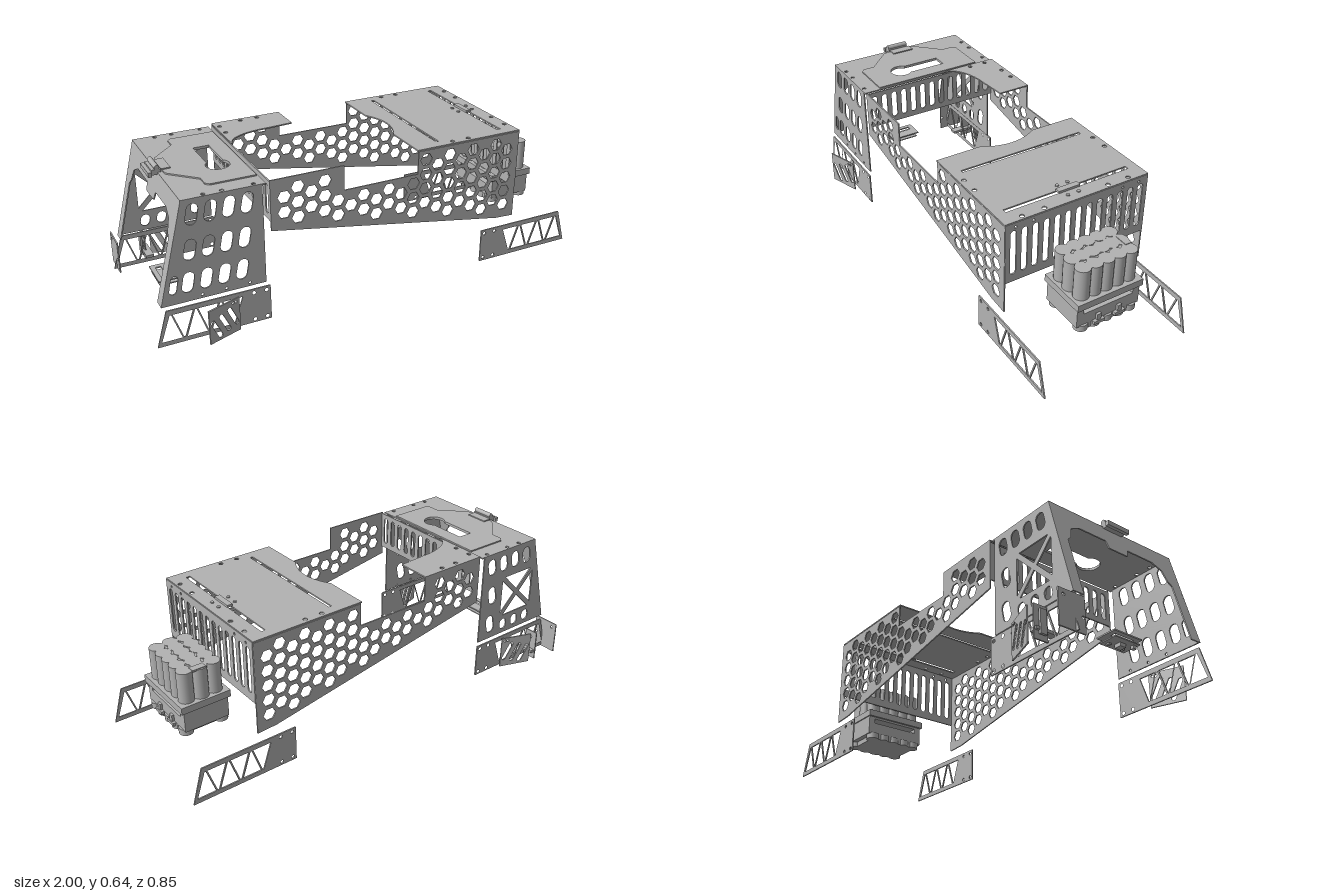
import * as THREE from 'three';

const T = 0.006; // sheet thickness
const gray = new THREE.MeshStandardMaterial({ color: 0xb2b2b2 });
gray.name = 'metal gray';

// ---- outline helpers: each returns a list of [a, b] points ----
const ngon = (x, y, r, n = 10, a0 = 0) => Array.from({ length: n }, (_, i) => {
  const a = a0 + (i / n) * Math.PI * 2;
  return [x + r * Math.cos(a), y + r * Math.sin(a)];
});
const rect = (x0, y0, x1, y1) => [[x0, y0], [x1, y0], [x1, y1], [x0, y1]];
// upright rounded slot, optionally tilted
function slot(x, y, w, h, tilt = 0) {
  const r = w / 2, c = Math.cos(tilt), s = Math.sin(tilt), pts = [];
  for (let k = 0; k < 2; k++) for (let i = 0; i <= 8; i++) {
    const a = Math.PI * (k + i / 8);
    const px = r * Math.cos(a), py = r * Math.sin(a) + (k ? -1 : 1) * (h / 2 - r);
    pts.push([x + px * c - py * s, y + px * s + py * c]);
  }
  return pts;
}

function sheet(outline, holes = [], depth = T) {
  const v = (l) => l.map((p) => new THREE.Vector2(p[0], p[1]));
  const shape = new THREE.Shape(v(outline));
  holes.forEach((h) => shape.holes.push(new THREE.Path(v(h))));
  return new THREE.ExtrudeGeometry(shape, { depth, bevelEnabled: false });
}

export function createModel() {
  const model = new THREE.Group();
  model.name = 'mountingFrame';
  const add = (name, geo, x = 0, y = 0, z = 0, parent = model) => {
    const m = new THREE.Mesh(geo, gray);
    m.name = name;
    m.position.set(x, y, z);
    parent.add(m);
    return m;
  };
  const box = (name, x0, x1, y0, y1, z0, z1) =>
    add(name, new THREE.BoxGeometry(x1 - x0, y1 - y0, z1 - z0), (x0 + x1) / 2, (y0 + y1) / 2, (z0 + z1) / 2);
  const flat = (name, o, h, y, d) => add(name, sheet(o, h, d).rotateX(Math.PI / 2), 0, y, 0); // (x, z) outline, top at y
  const cross = (name, o, h, x, d) => add(name, sheet(o, h, d).rotateY(-Math.PI / 2), x, 0, 0); // (z, y) outline

  // ---- honeycomb side panels ----
  const hexes = [];
  for (let i = 0; i < 19; i++) for (let j = 0; j < 8; j++) {
    const x = -0.44 + i * 0.0595, y = 0.57 - j * 0.067 - (i % 2 ? 0 : 0.0335);
    const top = x < -0.215 || x > 0.21 ? 0.578 : 0.475;
    const low = Math.max(0.24, 0.4 - 0.177 * (x + 0.5) + 0.038);
    if (y < top && y > low) hexes.push(ngon(x, y, 0.029, 6));
  }
  const honeyOutline = [[-0.5, 0.4], [0.6, 0.205], [0.69, 0.2], [0.69, 0.612], [0.175, 0.612],
    [0.175, 0.51], [-0.175, 0.51], [-0.175, 0.62], [-0.5, 0.62]];
  for (const z of [-0.337, 0.331]) add('honeycombSide', sheet(honeyOutline, hexes), 0, 0, z);

  // slotted cross panels
  const slots = (y, h) => Array.from({ length: 13 }, (_, i) => slot((i - 6) * 0.05, y, 0.027, h));
  const rivets = [-0.29, -0.21, 0.21, 0.29].map((z) => ngon(z, 0.597, 0.006));
  cross('slottedEndPanel', rect(-0.335, 0.342, 0.335, 0.617), [...slots(0.48, 0.205), ...rivets], 0.693);
  cross('slottedInnerPanel', rect(-0.335, 0.44, 0.335, 0.615), slots(0.53, 0.13), -0.494);

  // big deck with a curved cutout and two long slots
  const deck = [[0.17, -0.337], [0.69, -0.337], [0.69, 0.337], [0.17, 0.337]];
  for (let i = 0; i <= 10; i++) {
    const t = 1 - i / 5;
    deck.push([0.17 + 0.04 * (1 - t * t), 0.13 * t]);
  }
  const deckHoles = [rect(0.288, -0.29, 0.302, 0.29), rect(0.603, -0.29, 0.622, 0.29)];
  for (const z of [-0.25, -0.15, 0.15, 0.25]) deckHoles.push(ngon(0.672, z, 0.01));
  for (const x of [0.355, 0.435]) for (const z of [-0.315, 0.315]) deckHoles.push(ngon(x, z, 0.01));
  flat('deckPlate', deck, deckHoles, 0.62);
  box('deckLatch', 0.6, 0.625, 0.62, 0.63, -0.05, 0.05);
  for (const x of [0.575, 0.65]) for (const z of [-0.025, 0.025])
    add('deckScrew', new THREE.CylinderGeometry(0.008, 0.008, 0.005, 10), x, 0.622, z);

  // corner plate with a swept inner edge
  const corner = [[-0.5, -0.337], [-0.175, -0.337], [-0.175, -0.185], [-0.3, -0.175]];
  for (let i = 1; i <= 8; i++) {
    const a = (i / 8) * Math.PI / 2;
    corner.push([-0.3 - 0.195 * Math.sin(a), -0.08 - 0.095 * Math.cos(a)]);
  }
  corner.push([-0.5, -0.08]);
  flat('cornerPlate', corner, [[-0.37, -0.315], [-0.29, -0.315], [-0.48, -0.285], [-0.48, -0.205]]
    .map((p) => ngon(p[0], p[1], 0.01)), 0.626);

  // ---- tapered stand ----
  const standOutline = [[-0.97, 0.175], [-0.53, 0.175], [-0.53, 0.61], [-0.86, 0.61]];
  const standSlots = [];
  [[0.548, 0], [0.4, 0], [0.26, 0]].forEach(([y], r) => {
    for (let c = 0; c < 4; c++) standSlots.push(slot(-0.82 + c * 0.075 - r * 0.017, y, 0.046, 0.09, -0.2));
  });
  standSlots.push(slot(-0.913, 0.26, 0.03, 0.08, -0.2));
  for (const x of [-0.8, -0.7, -0.6]) standSlots.push(ngon(x, 0.19, 0.006));
  add('standFrontSide', sheet(standOutline, standSlots), 0, 0, 0.331);

  // braced rear side: four triangles leave an X
  const [bx, by, bw, bh, g] = [-0.765, 0.37, 0.1, 0.1, 0.016];
  const brace = [
    [[bx, by + g], [bx + bw - g, by + bh], [bx - bw + g, by + bh]],
    [[bx, by - g], [bx - bw + g, by - bh], [bx + bw - g, by - bh]],
    [[bx + g, by], [bx + bw, by - bh + g], [bx + bw, by + bh - g]],
    [[bx - g, by], [bx - bw, by + bh - g], [bx - bw, by - bh + g]],
  ];
  for (let c = 0; c < 4; c++) {
    brace.push(slot(-0.81 + c * 0.075, 0.548, 0.046, 0.08, -0.2));
    if (c < 3) brace.push(slot(-0.84 + c * 0.075, 0.222, 0.042, 0.055, -0.2));
  }
  for (const y of [0.25, 0.4]) brace.push(slot(-0.6, y, 0.046, 0.09, -0.2));
  add('standBackSide', sheet(standOutline, brace), 0, 0, -0.337);

  // leaning end frame: cut upright, then sheared along x by height
  const half = [[0.05, 0.5], [0.06, 0.535], [0.2, 0.535], [0.25, 0.51], [0.265, 0.46], [0.285, 0.44],
    [0.285, 0.175], [0.335, 0.175], [0.335, 0.61]];
  const endOutline = [...half, ...half.map(([z, y]) => [-z, y]).reverse()];
  const endGeo = sheet(endOutline).rotateY(-Math.PI / 2);
  const ep = endGeo.attributes.position;
  for (let i = 0; i < ep.count; i++) ep.setX(i, ep.getX(i) - 0.964 + (ep.getY(i) - 0.175) * 0.253);
  endGeo.computeVertexNormals();
  add('standEndFrame', endGeo);

  // stand top and its lid, both cut by a keyhole
  const keyhole = [[-0.66, -0.115], [-0.59, -0.115]];
  for (let i = 0; i <= 14; i++) {
    const a = -0.8 + (i / 14) * (Math.PI + 1.6);
    keyhole.push([-0.625 + 0.05 * Math.cos(a), 0.095 + 0.05 * Math.sin(a)]);
  }
  const topHoles = [keyhole];
  for (const x of [-0.765, -0.69, -0.56]) for (const z of [-0.32, 0.32]) topHoles.push(ngon(x, z, 0.009));
  flat('standTop', rect(-0.86, -0.337, -0.515, 0.337), topHoles, 0.614);
  const lidHalf = [[-0.522, 0.258], [-0.715, 0.258], [-0.73, 0.243], [-0.73, 0.19], [-0.835, 0.085], [-0.84, 0.07]];
  flat('standLid', [...lidHalf, ...lidHalf.map(([x, z]) => [x, -z]).reverse()], [keyhole], 0.62);

  // hinge
  box('hingeLeaf', -0.845, -0.805, 0.62, 0.625, -0.06, 0.045);
  box('hingeBlock', -0.885, -0.845, 0.605, 0.628, -0.05, 0.05);
  box('hingeTab', -0.9, -0.885, 0.6, 0.62, -0.06, 0.055);
  add('hingePin', new THREE.CylinderGeometry(0.011, 0.011, 0.1, 14).rotateX(Math.PI / 2), -0.862, 0.634, 0);

  // ---- battery pack ----
  const bat = new THREE.Group();
  bat.name = 'batteryPack';
  bat.position.set(0.81, 0, -0.003);
  model.add(bat);
  const bbox = (name, w, d, y0, y1, x = 0, z = 0) =>
    add(name, new THREE.BoxGeometry(w, y1 - y0, d), x, (y0 + y1) / 2, z, bat);
  for (let c = -1; c <= 1; c++) for (let r = 0; r < (c ? 5 : 6); r++) {
    const z = (r - (c ? 2 : 2.5)) * (c ? 0.055 : 0.046);
    add('batteryCell', new THREE.CylinderGeometry(0.033, 0.033, 0.145, 20), c * 0.063, 0.3825, z, bat);
  }
  bbox('cellCore', 0.13, 0.24, 0.312, 0.452);
  bbox('batteryRim', 0.222, 0.312, 0.287, 0.318);
  bbox('batteryUpperBody', 0.2, 0.3, 0.277, 0.288);
  for (const s of [-1, 1]) bbox('windowPost', 0.2, 0.032, 0.254, 0.278, 0, s * 0.134);
  bbox('batteryLowerBody', 0.2, 0.3, 0.197, 0.255);
  for (let i = 0; i < 5; i++) for (const s of [-1, 1])
    add('footLobe', new THREE.CylinderGeometry(0.03, 0.03, 0.028, 16), s * 0.08, 0.188, (i - 2) * 0.058, bat);
  bbox('batteryFoot', 0.2, 0.25, 0.174, 0.198);
  for (const s of [-1, 1]) {
    bbox('sideConnector', 0.014, 0.02, 0.2, 0.232, 0.104, s * 0.05);
    bbox('sideConnectorBase', 0.018, 0.05, 0.19, 0.204, 0.106, s * 0.05);
  }
  bbox('topTerminal', 0.06, 0.03, 0.45, 0.458, 0.01, -0.125);

  // ---- lower truss plates at all four corners ----
  for (const s of [-1, 1]) {
    const m = (l) => l.map(([x, y]) => [x * s, y]);
    const holes = [];
    for (let i = 0; i < 6; i++) {
      const c = 0.68 + i * 0.052, up = i % 2, a = up ? 0.025 : 0.14, b = up ? 0.14 : 0.025;
      holes.push(m([[c - 0.042, a], [c + 0.042, a], [c + 0.003, b], [c - 0.003, b]]));
    }
    for (const x of [0.535, 0.59]) for (const y of [0.02, 0.145]) holes.push(m(ngon(x, y, 0.008)));
    const outline = m([[0.517, 0.005], [1, 0.005], [0.955, 0.162], [0.517, 0.162]]);
    for (const z of [-0.348, 0.342]) add('trussPlate', sheet(outline, holes), 0, 0, z);
  }

  // angled guard plates beside the stand
  const guardHoles = [-0.042, 0, 0.042].map((x, i) => slot(x, 0.075 + (i - 1) * 0.012, 0.02, 0.1, 0.45));
  guardHoles.push(ngon(0.045, 0.145, 0.006), ngon(0.06, 0.145, 0.006));
  for (const s of [-1, 1]) {
    const guard = add('guardPlate', sheet(rect(-0.077, 0.007, 0.077, 0.16), guardHoles), -0.737, 0, s * 0.392);
    guard.rotation.y = s * 0.33;
  }

  // rear corner brackets
  cross('bracketEndPlate', rect(-0.425, 0.003, -0.3, 0.153), [ngon(-0.31, 0.067, 0.007), ngon(-0.4, 0.13, 0.007)], -0.98);
  cross('bracketInnerPlate', rect(-0.42, 0.01, -0.355, 0.15), [ngon(-0.385, 0.12, 0.01)], -0.845);
  box('bracketArm', -0.86, -0.825, 0.045, 0.058, -0.415, -0.3);
  box('bracketPost', -0.865, -0.855, 0.03, 0.13, -0.4, -0.37);

  // ---- small circuit module under the stand ----
  flat('moduleCover', rect(-0.905, -0.073, -0.81, 0.073), [rect(-0.885, -0.05, -0.86, 0.05)], 0.134);
  flat('circuitBoard', rect(-0.9, -0.065, -0.815, 0.065), [], 0.113, 0.005);
  for (const [x, z, w, h] of [[-0.86, 0, 0.03, 0.016], [-0.88, 0.05, 0.016, 0.015], [-0.84, 0.03, 0.012, 0.01], [-0.84, -0.04, 0.014, 0.007]])
    box('circuitChip', x - w / 2, x + w / 2, 0.109 - h, 0.109, z - w / 2, z + w / 2);
  return model;
}
